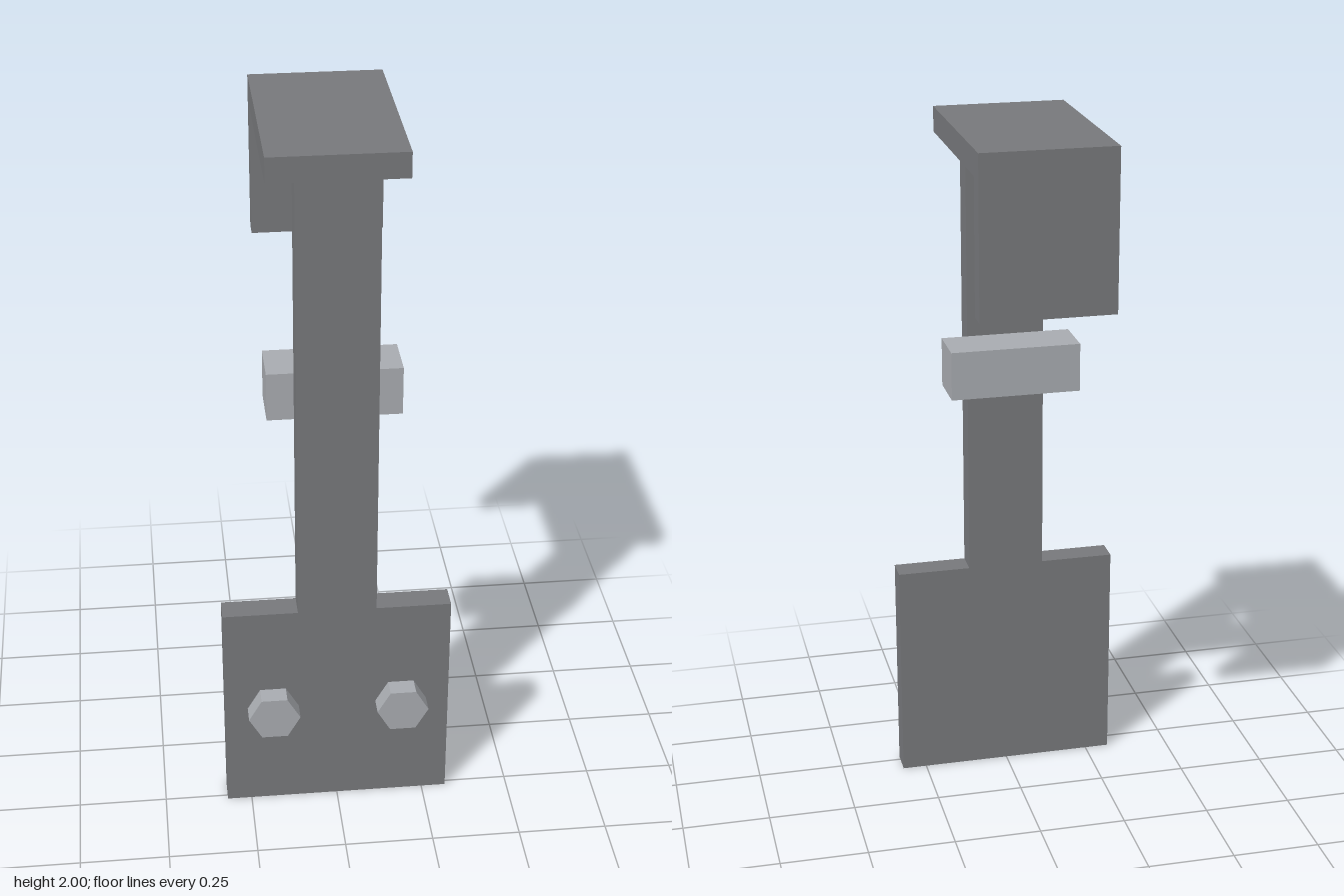
import * as THREE from 'three';

export function createModel() {
  const group = new THREE.Group();
  const darkSteel = new THREE.MeshStandardMaterial({ color: 0x77787b });
  darkSteel.name = 'darkSteel';
  const lightSteel = new THREE.MeshStandardMaterial({ color: 0xa8abb0 });
  lightSteel.name = 'lightSteel';
  darkSteel.flatShading = lightSteel.flatShading = true;

  // Box centred on x, given its width and its y and z limits
  function addBox(name, width, [y0, y1], [z0, z1], material) {
    const mesh = new THREE.Mesh(new THREE.BoxGeometry(width, y1 - y0, z1 - z0), material);
    mesh.position.set(0, (y0 + y1) / 2, (z0 + z1) / 2);
    mesh.name = name;
    group.add(mesh);
  }

  const back = 0.193, front = 0.266, rear = -0.321;

  // Mounting plate and upright strap
  addBox('mountingPlate', 0.64, [0, 0.645], [back, front], darkSteel);
  addBox('strap', 0.22, [0.645, 1.93], [back, front], darkSteel);

  // Hook that folds over the top and down the rear
  addBox('hookTop', 0.366, [1.93, 2], [rear, front], darkSteel);
  addBox('hookFlap', 0.366, [1.56, 1.93], [rear, -0.266], darkSteel);

  // Spacer block behind the strap
  addBox('spacerBlock', 0.366, [1.222, 1.36], [0.055, back], lightSteel);

  // Hexagonal bolt heads, corners pointing sideways
  const boltGeometry = new THREE.CylinderGeometry(0.073, 0.073, 0.055, 6);
  boltGeometry.rotateY(Math.PI / 2).rotateX(Math.PI / 2);
  for (const side of [-1, 1]) {
    const bolt = new THREE.Mesh(boltGeometry, lightSteel);
    bolt.position.set(side * 0.183, 0.324, front + 0.0275);
    bolt.name = side > 0 ? 'leftBolt' : 'rightBolt';
    group.add(bolt);
  }

  return group;
}
